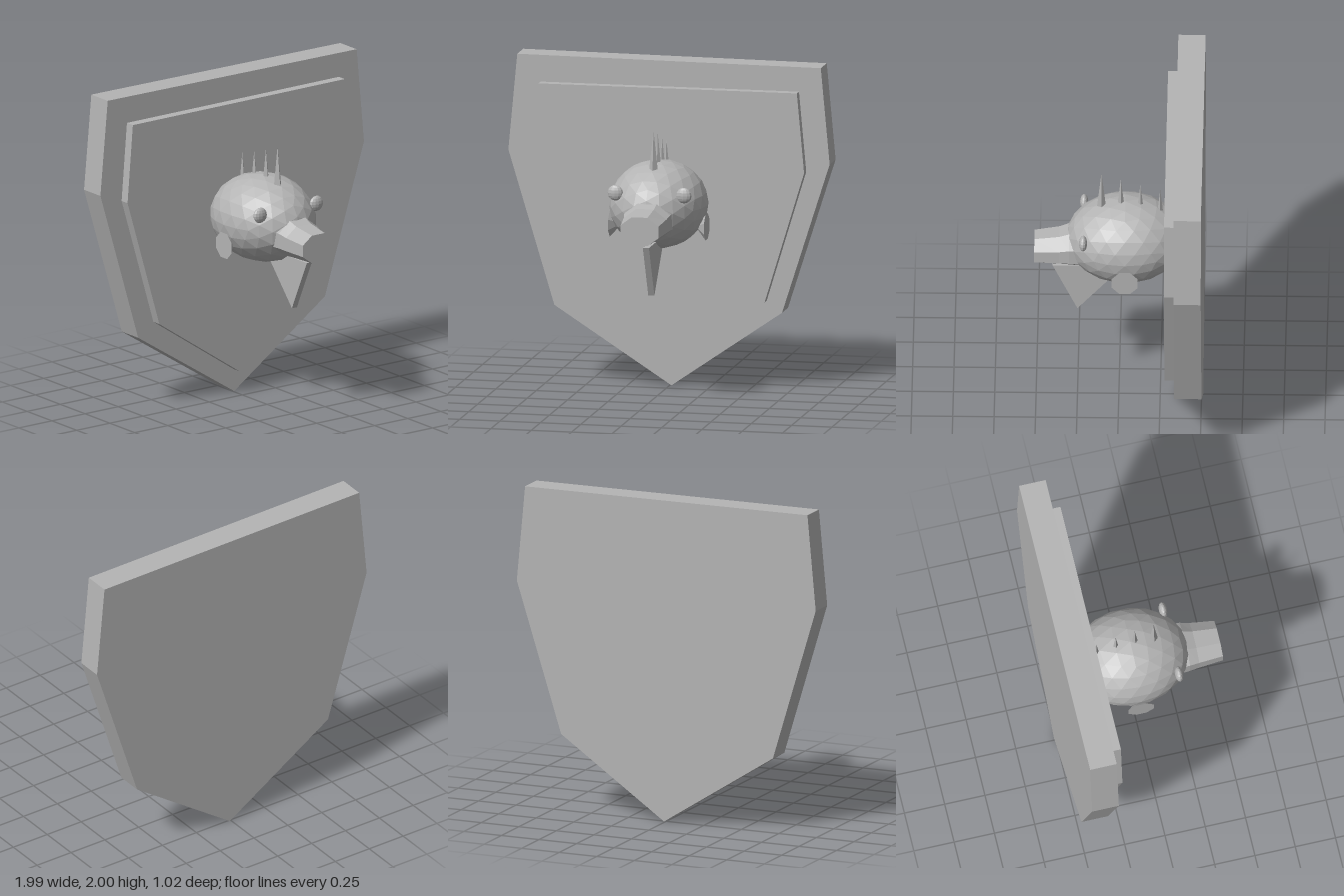
import * as THREE from 'three';

const grey = new THREE.MeshStandardMaterial({ color: 0xb4b4b4, flatShading: true });
grey.name = 'plain grey';

export function createModel() {
  const group = new THREE.Group();
  group.name = 'mountedHead';

  const add = (name, geometry, x = 0, y = 0, z = 0) => {
    const mesh = new THREE.Mesh(geometry, grey);
    mesh.name = name;
    mesh.position.set(x, y, z);
    group.add(mesh);
    return mesh;
  };
  const slab = (points, depth) => new THREE.ExtrudeGeometry(
    new THREE.Shape(points.map(([x, y]) => new THREE.Vector2(x, y))),
    { depth, bevelEnabled: false });

  // Shield-shaped wall plaque in two layers
  add('plaqueBack', slab([[-0.945, 2], [-1, 1.41], [-0.715, 0.465], [0.01, 0],
    [0.695, 0.475], [0.99, 1.4], [0.935, 1.99]], 0.165), 0, 0, -0.51);
  add('plaqueFront', slab([[-0.8, 1.835], [-0.84, 1.35], [-0.6, 0.545], [0.005, 0.14],
    [0.6, 0.545], [0.845, 1.35], [0.8, 1.84]], 0.07), 0, 0, -0.355);

  // Faceted head, its back sunk into the plaque
  const head = new THREE.IcosahedronGeometry(1, 3);
  head.scale(0.298, 0.268, 0.36);
  add('head', head, 0, 1.175, -0.04);

  // Octagonal snout lofted from rings: [z, centre y, half width, half height]
  const rings = [[0.1, 1.12, 0.15, 0.125], [0.3, 1.125, 0.142, 0.112],
    [0.36, 1.115, 0.132, 0.1], [0.51, 1.105, 0.117, 0.087]];
  const positions = [], index = [], sides = 8;
  for (const [z, cy, rx, ry] of rings) {
    for (let i = 0; i < sides; i++) {
      const a = (i + 0.5) / sides * Math.PI * 2, k = 1 / Math.cos(Math.PI / sides);
      positions.push(0.005 + Math.cos(a) * rx * k, cy + Math.sin(a) * ry * k, z);
    }
  }
  for (let r = 0; r < rings.length - 1; r++) {
    for (let i = 0; i < sides; i++) {
      const a = r * sides + i, b = r * sides + (i + 1) % sides;
      index.push(a, b, b + sides, a, b + sides, a + sides);
    }
  }
  const last = (rings.length - 1) * sides;
  for (let i = 1; i < sides - 1; i++) index.push(last, last + i, last + i + 1);
  const snout = new THREE.BufferGeometry();
  snout.setAttribute('position', new THREE.Float32BufferAttribute(positions, 3));
  snout.setIndex(index);
  snout.computeVertexNormals();
  add('snout', snout);

  // Triangular plate below the jaw
  const beard = slab([[-0.4, 0.985], [-0.25, 0.665], [0.03, 0.985]], 0.038);
  beard.rotateY(Math.PI / 2);
  add('chinPlate', beard);

  // Eyes and flared ears on both sides
  for (const side of [1, -1]) {
    const name = side > 0 ? 'left' : 'right';
    const eye = new THREE.SphereGeometry(1, 12, 8);
    eye.scale(0.048, 0.048, 0.025);
    add(name + 'Eye', eye, side * 0.212, 1.28, 0.213);

    const ear = new THREE.ConeGeometry(0.085, 0.07, 8);
    ear.rotateY(Math.PI / 8);
    ear.rotateZ(side * Math.PI / 2);
    add(name + 'Ear', ear, side * 0.262, 1.045, -0.04);
  }

  // Row of four-sided spikes along the crown: [z, tip y]
  [[0.105, 1.655], [-0.012, 1.61], [-0.13, 1.57], [-0.25, 1.53]].forEach(([z, tip], i) => {
    add('spike' + (i + 1), new THREE.ConeGeometry(0.027, 0.25, 4), 0, tip - 0.125, z);
  });

  return group;
}
